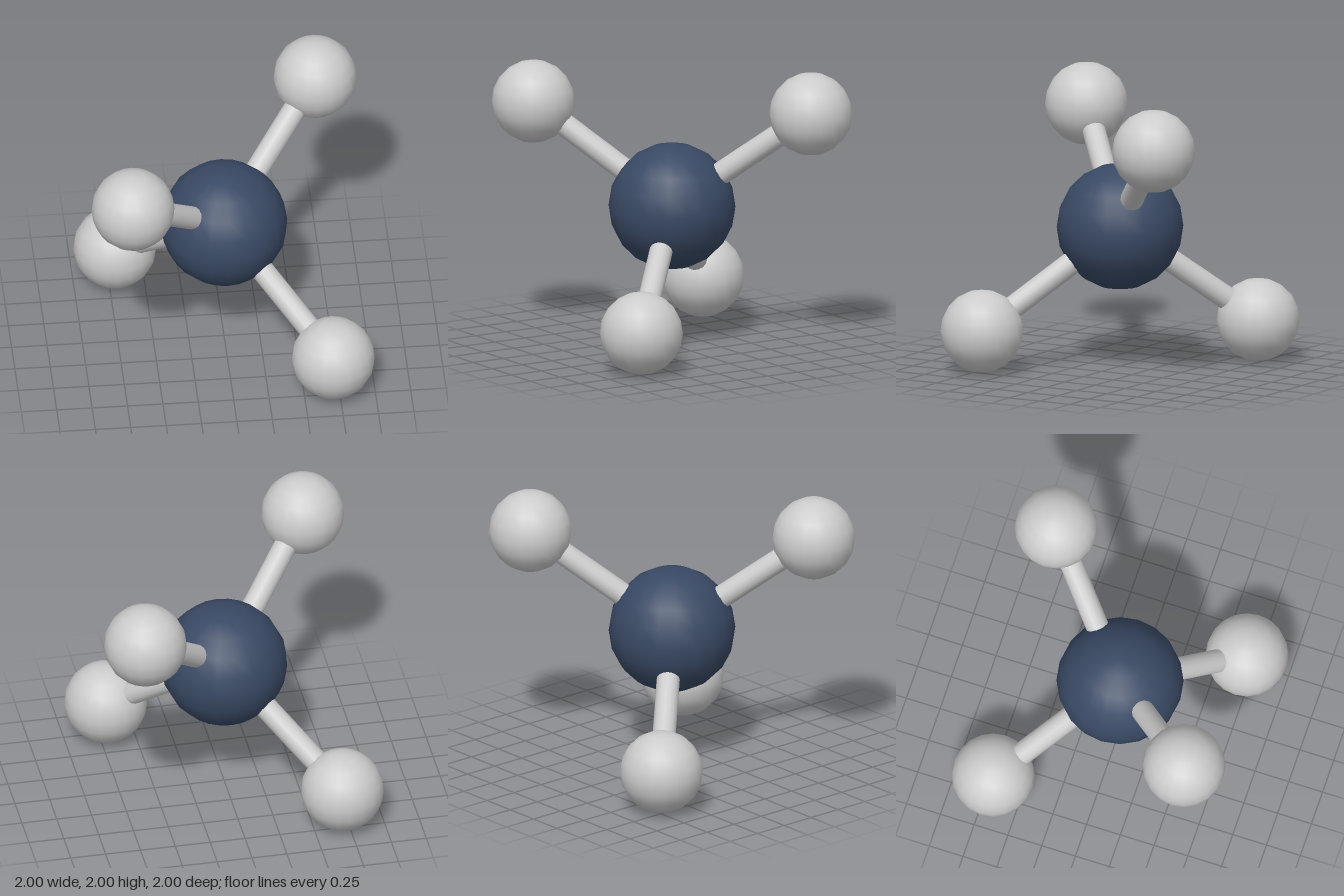
import * as THREE from 'three';

export function createModel() {
  const model = new THREE.Group();
  const grey = new THREE.MeshStandardMaterial({ color: 0xcccccc });
  const blue = new THREE.MeshStandardMaterial({ color: 0x394964 });

  const centre = new THREE.Vector3(0, 1, 0);
  const reach = 0.707; // offset of each outer ball along every axis

  // Large central ball
  const core = new THREE.Mesh(new THREE.SphereGeometry(0.447, 20, 10), blue);
  core.name = 'centralBall';
  core.position.copy(centre);
  model.add(core);

  // Four rods and balls towards the corners of a tetrahedron
  const ballGeometry = new THREE.SphereGeometry(0.293, 20, 10);
  const rodLength = reach * Math.sqrt(3);
  const rodGeometry = new THREE.CylinderGeometry(0.082, 0.082, rodLength, 16);
  const up = new THREE.Vector3(0, 1, 0);
  const corners = {
    upperFrontRight: [-1, 1, 1],
    lowerFrontLeft: [1, -1, 1],
    upperBackLeft: [1, 1, -1],
    lowerBackRight: [-1, -1, -1],
  };

  for (const [name, signs] of Object.entries(corners)) {
    const offset = new THREE.Vector3(...signs).multiplyScalar(reach);
    const arm = new THREE.Group();
    arm.name = `${name}Arm`;
    arm.position.copy(centre);

    const ball = new THREE.Mesh(ballGeometry, grey);
    ball.name = 'outerBall';
    ball.position.copy(offset);

    const rod = new THREE.Mesh(rodGeometry, grey);
    rod.name = 'rod';
    rod.position.copy(offset).multiplyScalar(0.5);
    rod.quaternion.setFromUnitVectors(up, offset.clone().normalize());

    arm.add(ball, rod);
    model.add(arm);
  }
  return model;
}
